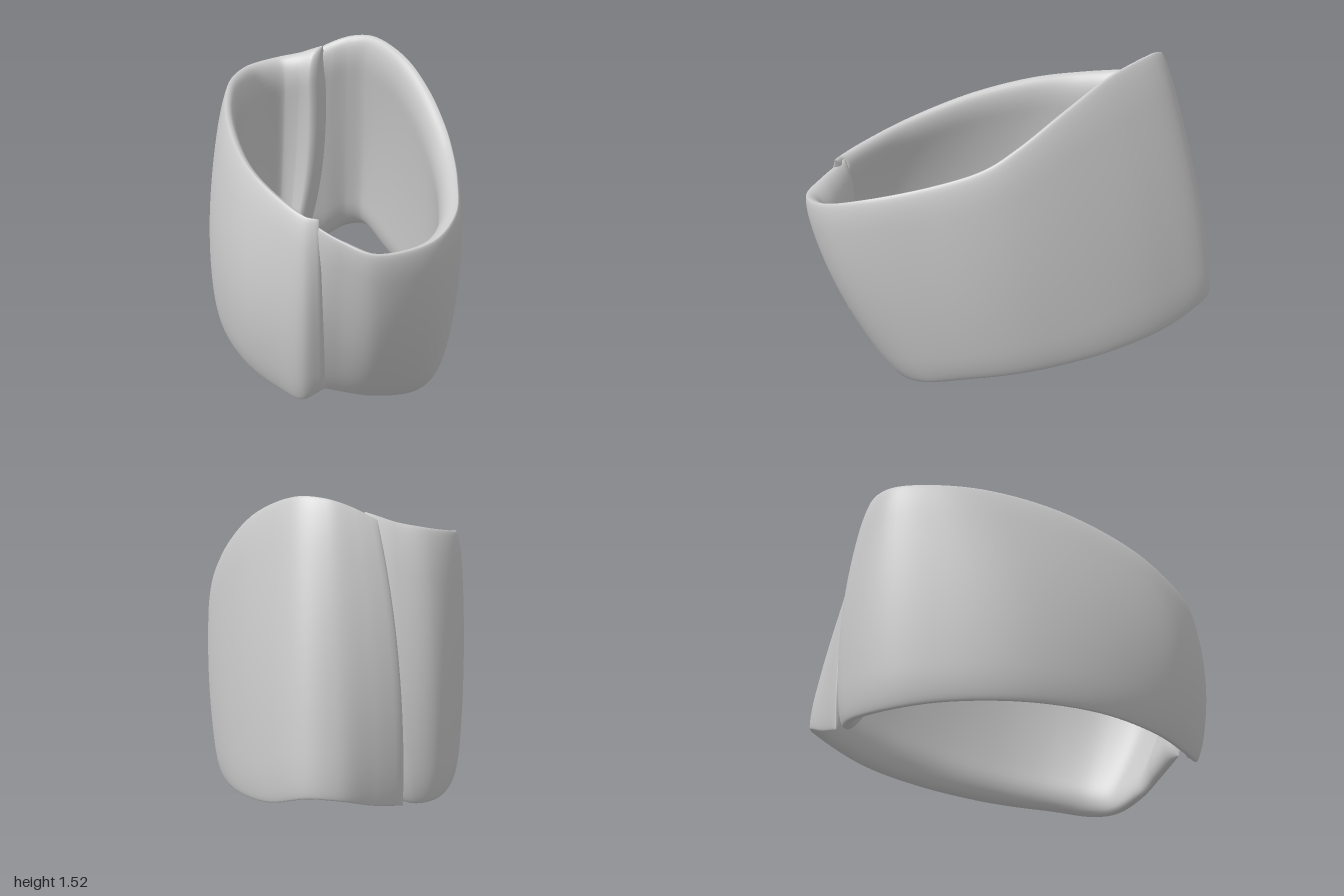
import * as THREE from 'three';
import { mergeVertices } from 'three/addons/utils/BufferGeometryUtils.js';

const curve = pts => new THREE.CatmullRomCurve3(pts.map(p => new THREE.Vector3(...p)));

// Full thickness in the middle, rounding off to nothing within `r` of either end
function rounded(s, r) {
  const w = Math.abs(2 * s - 1), k = (w - (1 - r)) / r;
  return k > 0 ? Math.sqrt(Math.max(0, 1 - k * k)) : 1;
}

// Curved wall through bottom, middle and top contours of its outer face, thinning towards its rims
function wall(name, contours, thickness, endRadius) {
  const [bottom, middle, top] = contours.map(curve);
  const NU = 140, NV = 36, loop = NV * 2;
  const pos = [], index = [], up = new THREE.Vector3(0, 1, 0);
  for (let i = 0; i <= NU; i++) {
    const s = i / NU;
    const u = 0.5 - 0.5 * Math.cos(Math.PI * (0.3 * s + 0.7 * (0.5 - 0.5 * Math.cos(Math.PI * s))));
    const b = bottom.getPoint(u), m = middle.getPoint(u), t = top.getPoint(u);
    const inward = middle.getTangent(u).setY(0).normalize().cross(up);
    const T = thickness(u);
    for (let j = 0; j < loop; j++) {
      // outer face upward, then inner face downward
      const v = 0.5 - 0.5 * Math.cos(Math.PI * j / NV);
      const d = T * rounded(v, 0.3) * rounded(u, endRadius);
      const offset = (T - d) * 0.18 + (j > NV ? d : 0);
      const p = new THREE.Vector3()
        .addScaledVector(b, (1 - v) * (1 - 2 * v))
        .addScaledVector(m, 4 * v * (1 - v))
        .addScaledVector(t, v * (2 * v - 1))
        .addScaledVector(inward, offset);
      pos.push(p.x, p.y, p.z);
    }
  }
  for (let i = 0; i < NU; i++) {
    for (let j = 0; j < loop; j++) {
      const a = i * loop + j, c = i * loop + (j + 1) % loop;
      index.push(a, c, a + loop, c, c + loop, a + loop);
    }
  }
  let geo = new THREE.BufferGeometry();
  geo.setAttribute('position', new THREE.Float32BufferAttribute(pos, 3));
  geo.setIndex(index);
  geo = mergeVertices(geo, 1e-5);
  geo.computeVertexNormals();
  const mesh = new THREE.Mesh(geo, new THREE.MeshStandardMaterial({ color: 0xcccccc, side: THREE.DoubleSide }));
  mesh.name = name;
  return mesh;
}

export function createModel() {
  const group = new THREE.Group();
  group.name = 'wrapBand';

  // Taller half with the raised back, from back seam to front seam
  group.add(wall('leftBandHalf', [
    [[-0.21, 0.21, -0.84], [-0.07, 0.25, -0.92], [0.09, 0.31, -1], [0.23, 0.32, -0.98], [0.38, 0.22, -0.75],
      [0.5, 0.15, -0.45], [0.56, 0.1, -0.15], [0.575, 0.075, 0.05], [0.555, 0.05, 0.25], [0.49, 0.01, 0.45],
      [0.38, 0, 0.57], [0.18, 0.03, 0.66], [0.02, 0.09, 0.72], [-0.13, 0.16, 0.78]],
    [[-0.18, 0.85, -0.845], [-0.05, 0.87, -0.88], [0.1, 0.9, -0.9], [0.25, 0.88, -0.86], [0.41, 0.82, -0.63],
      [0.525, 0.72, -0.35], [0.59, 0.61, -0.1], [0.612, 0.55, 0.1], [0.6, 0.5, 0.33], [0.54, 0.47, 0.59],
      [0.42, 0.44, 0.78], [0.18, 0.45, 0.89], [0.01, 0.5, 0.86], [-0.15, 0.53, 0.85]],
    [[-0.1, 1.43, -0.75], [0, 1.48, -0.74], [0.11, 1.515, -0.72], [0.24, 1.52, -0.65], [0.4, 1.44, -0.43],
      [0.51, 1.3, -0.21], [0.575, 1.15, 0], [0.593, 1.06, 0.15], [0.585, 0.99, 0.37], [0.535, 0.92, 0.68],
      [0.4, 0.87, 0.9], [0.16, 0.86, 1.01], [0.02, 0.9, 0.96], [-0.13, 0.965, 0.86]],
  ], u => 0.075 + 0.038 * Math.sin(Math.PI * u), 0.05));

  // Lower half, from front seam to back seam
  group.add(wall('rightBandHalf', [
    [[-0.035, 0.18, 0.85], [-0.14, 0.13, 0.86], [-0.25, 0.14, 0.78], [-0.4, 0.17, 0.62], [-0.54, 0.21, 0.34],
      [-0.6, 0.23, 0], [-0.57, 0.23, -0.35], [-0.5, 0.21, -0.6], [-0.38, 0.2, -0.77], [-0.27, 0.2, -0.81],
      [-0.17, 0.22, -0.8]],
    [[-0.045, 0.55, 0.9], [-0.13, 0.55, 0.93], [-0.25, 0.58, 0.86], [-0.42, 0.62, 0.69], [-0.56, 0.7, 0.37],
      [-0.617, 0.75, 0], [-0.58, 0.77, -0.36], [-0.5, 0.78, -0.64], [-0.34, 0.78, -0.82], [-0.19, 0.78, -0.835],
      [-0.04, 0.8, -0.77]],
    [[-0.06, 0.97, 0.9], [-0.13, 0.98, 0.88], [-0.25, 1.03, 0.77], [-0.4, 1.12, 0.55], [-0.51, 1.24, 0.2],
      [-0.545, 1.32, -0.15], [-0.53, 1.35, -0.42], [-0.46, 1.37, -0.64], [-0.31, 1.395, -0.75],
      [-0.17, 1.42, -0.755], [-0.04, 1.46, -0.73]],
  ], u => 0.075 + 0.065 * u * u, 0.06));

  return group;
}
